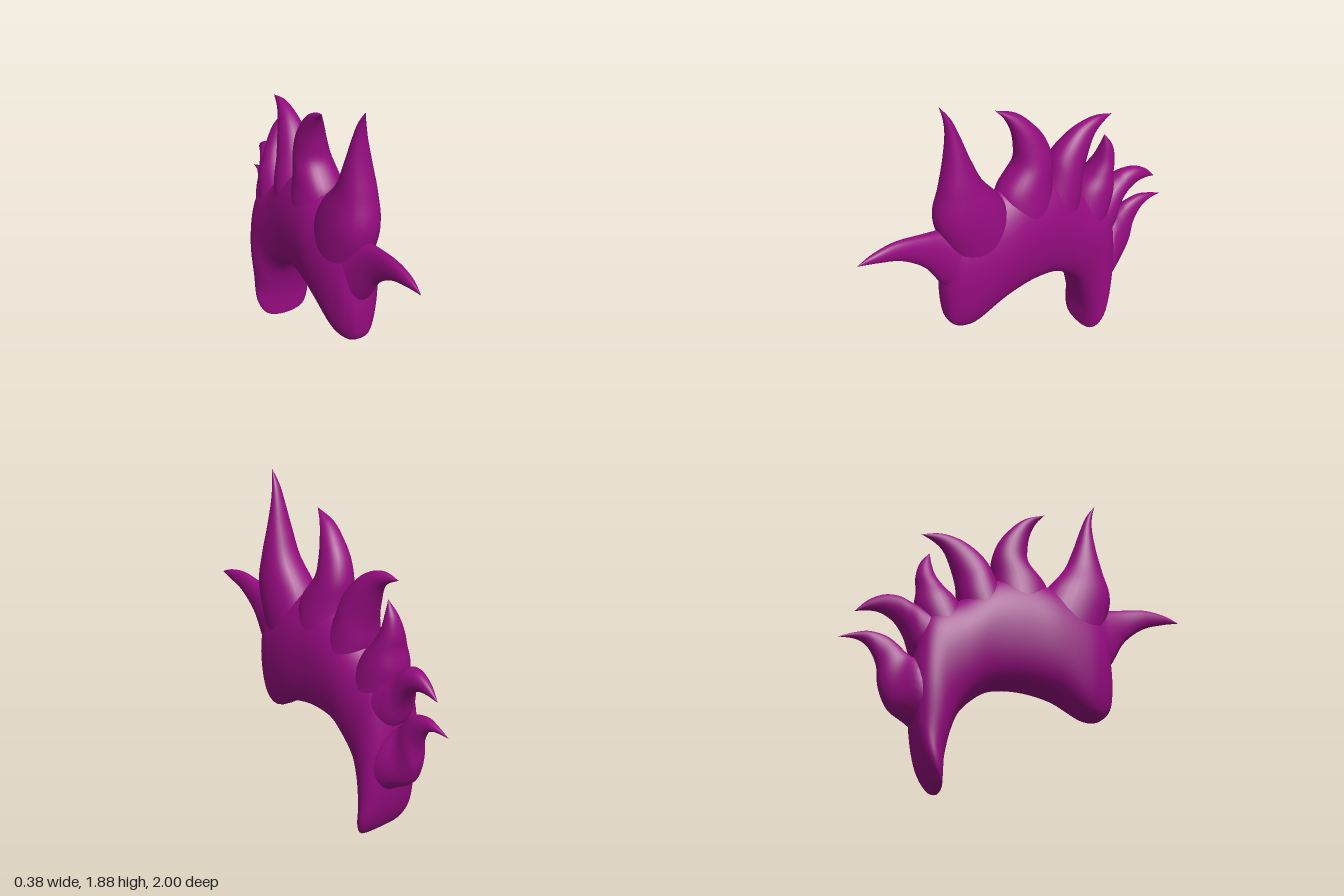
import * as THREE from 'three';

const magenta = new THREE.MeshStandardMaterial({ color: 0x960c80 });
magenta.name = 'magenta';

// Smooth loft through oval sections. Each row: [zA, yA, zB, yB, halfWidth, xOffset, fullness],
// where A and B are the two opposite edges of the section in the side plane.
// A lower fullness exponent makes the B half of the section blunter.
function loft(name, rows, { steps = 6, sides = 28, powerA = 0.85 } = {}) {
  const spline = (f) => new THREE.CatmullRomCurve3(rows.map(f), false, 'catmullrom', 0.5);
  const edgeA = spline((r) => new THREE.Vector3(r[5], r[1], r[0]));
  const edgeB = spline((r) => new THREE.Vector3(r[5], r[3], r[2]));
  const width = spline((r) => new THREE.Vector3(r[4], r[6] ?? powerA, 0));
  const n = (rows.length - 1) * steps;
  const positions = [];
  const index = [];
  for (let i = 0; i <= n; i++) {
    const a = edgeA.getPoint(i / n);
    const b = edgeB.getPoint(i / n);
    const { x, y: powerB } = width.getPoint(i / n);
    const w = Math.max(0, x);
    for (let j = 0; j < sides; j++) {
      const t = (j / sides) * Math.PI * 2;
      const s = Math.sin(t);
      const p = a.clone().lerp(b, (1 - Math.cos(t)) / 2);
      const power = Math.cos(t) > 0 ? powerA : powerB;
      positions.push(p.x + w * Math.sign(s) * Math.abs(s) ** power, p.y, p.z);
      if (i < n) {
        const k = i * sides + j;
        const m = i * sides + ((j + 1) % sides);
        index.push(k, m, k + sides, m, m + sides, k + sides);
      }
    }
  }
  // Turn the faces outward if the signed volume is negative
  const at = (i) => new THREE.Vector3().fromArray(positions, i * 3);
  let volume = 0;
  for (let i = 0; i < index.length; i += 3) {
    volume += at(index[i]).dot(at(index[i + 1]).cross(at(index[i + 2])));
  }
  if (volume < 0) index.reverse();
  const geometry = new THREE.BufferGeometry();
  geometry.setAttribute('position', new THREE.Float32BufferAttribute(positions, 3));
  geometry.setIndex(index);
  geometry.computeVertexNormals();
  const mesh = new THREE.Mesh(geometry, magenta);
  mesh.name = name;
  return mesh;
}

export function createModel() {
  const group = new THREE.Group();
  group.name = 'flameCrest';

  // Arched body: blunt inner edge under the arch, thinner outer edge below the spikes
  group.add(loft('archedBody', [
    [0.525, 0.62, 0.525, 0.66, 0, 0.015, 1],
    [0.515, 0.55, 0.525, 0.78, 0.05, 0.015, 1.1],
    [0.485, 0.5, 0.51, 0.95, 0.085, 0.015, 1.2],
    [0.43, 0.472, 0.47, 1.12, 0.122, 0.012, 1.3],
    [0.35, 0.485, 0.36, 1.2, 0.155, 0.01, 1.25],
    [0.19, 0.575, 0.16, 1.25, 0.178, 0.01, 1.1],
    [0, 0.61, 0, 1.27, 0.175, 0.008, 1],
    [-0.17, 0.592, -0.19, 1.23, 0.172, 0.005, 1],
    [-0.28, 0.52, -0.38, 1.07, 0.175, 0, 0.9],
    [-0.36, 0.42, -0.56, 0.95, 0.18, -0.005, 0.8],
    [-0.405, 0.3, -0.61, 0.68, 0.184, -0.008, 0.65],
    [-0.43, 0.17, -0.6, 0.38, 0.178, 0, 0.6],
    [-0.435, 0.08, -0.56, 0.17, 0.176, 0, 0.6],
    [-0.435, 0.02, -0.5, 0.05, 0.135, 0, 0.6],
    [-0.437, 0.002, -0.45, 0.012, 0.06, 0, 0.6],
    [-0.44, 0.003, -0.44, 0.003, 0, 0, 0.6],
  ], { sides: 48, powerA: 0.6 }));

  // Flame spikes from the front round to the back, each rooted inside the body
  const spikes = {
    frontSpike: [
      [0.34, 0.66, 0.27, 1.12, 0.13, 0.01],
      [0.45, 0.72, 0.39, 1.16, 0.11, 0.01],
      [0.535, 0.82, 0.49, 1.16, 0.074, 0.015],
      [0.63, 0.98, 0.61, 1.185, 0.048, 0.025],
      [0.76, 1.09, 0.77, 1.212, 0.034, 0.03],
      [0.89, 1.14, 0.9, 1.2, 0.022, 0.035],
      [1, 1.165, 1, 1.165, 0, 0.035],
    ],
    tallSpike: [
      [0.42, 0.78, 0.08, 0.84, 0.13, 0.01],
      [0.48, 1.0, 0.06, 1.03, 0.148, 0.01],
      [0.54, 1.22, 0.14, 1.23, 0.138, 0.015],
      [0.505, 1.4, 0.265, 1.4, 0.102, 0.025],
      [0.47, 1.55, 0.33, 1.55, 0.073, 0.022],
      [0.45, 1.7, 0.38, 1.7, 0.042, 0.018],
      [0.455, 1.8, 0.42, 1.8, 0.022, 0.014],
      [0.475, 1.88, 0.475, 1.88, 0, 0.01],
    ],
    hookedSpike: [
      [0.18, 0.96, -0.17, 0.96, 0.152, 0.01],
      [0.17, 1.1, -0.175, 1.1, 0.15, 0.01],
      [0.14, 1.25, -0.175, 1.25, 0.125, 0.01],
      [0.04, 1.38, -0.18, 1.38, 0.1, 0.005],
      [0.03, 1.49, -0.15, 1.49, 0.08, -0.005],
      [0.045, 1.58, -0.09, 1.58, 0.06, -0.015],
      [0.08, 1.66, 0, 1.665, 0.035, -0.03],
      [0.13, 1.72, 0.13, 1.72, 0, -0.04],
    ],
    upperBackSpike: [
      [-0.04, 0.95, -0.27, 0.78, 0.15, 0.005],
      [-0.09, 1.07, -0.33, 0.89, 0.152, 0.005],
      [-0.165, 1.25, -0.37, 1.07, 0.13, 0.005],
      [-0.21, 1.35, -0.385, 1.2, 0.105, 0.01],
      [-0.28, 1.43, -0.42, 1.32, 0.078, 0.015],
      [-0.37, 1.49, -0.46, 1.41, 0.05, 0.02],
      [-0.48, 1.517, -0.51, 1.46, 0.027, 0.025],
      [-0.59, 1.497, -0.59, 1.497, 0, 0.025],
    ],
    shortSpike: [
      [-0.23, 0.76, -0.48, 0.67, 0.15, 0],
      [-0.29, 0.88, -0.55, 0.81, 0.152, 0],
      [-0.37, 1.06, -0.61, 1.0, 0.13, 0.005],
      [-0.45, 1.15, -0.605, 1.13, 0.095, 0.015],
      [-0.5, 1.23, -0.61, 1.22, 0.065, 0.025],
      [-0.525, 1.32, -0.59, 1.31, 0.035, 0.035],
      [-0.535, 1.39, -0.535, 1.39, 0, 0.04],
    ],
    middleBackSpike: [
      [-0.39, 0.88, -0.43, 0.55, 0.15, 0],
      [-0.49, 0.96, -0.53, 0.64, 0.145, 0],
      [-0.58, 1.01, -0.61, 0.72, 0.118, 0.005],
      [-0.64, 1.045, -0.655, 0.84, 0.085, 0.015],
      [-0.7, 1.08, -0.71, 0.93, 0.063, 0.03],
      [-0.78, 1.085, -0.78, 0.98, 0.043, 0.045],
      [-0.86, 1.045, -0.85, 0.99, 0.024, 0.055],
      [-0.925, 0.975, -0.925, 0.975, 0, 0.06],
    ],
    lowerBackSpike: [
      [-0.49, 0.61, -0.52, 0.27, 0.165, -0.008],
      [-0.59, 0.69, -0.61, 0.345, 0.15, -0.005],
      [-0.645, 0.74, -0.72, 0.42, 0.092, 0.008],
      [-0.69, 0.79, -0.775, 0.54, 0.07, 0.02],
      [-0.75, 0.835, -0.79, 0.66, 0.05, 0.03],
      [-0.84, 0.857, -0.835, 0.76, 0.033, 0.04],
      [-0.92, 0.843, -0.9, 0.808, 0.017, 0.05],
      [-1, 0.81, -1, 0.81, 0, 0.05],
    ],
  };
  for (const [name, rows] of Object.entries(spikes)) group.add(loft(name, rows));

  return group;
}
